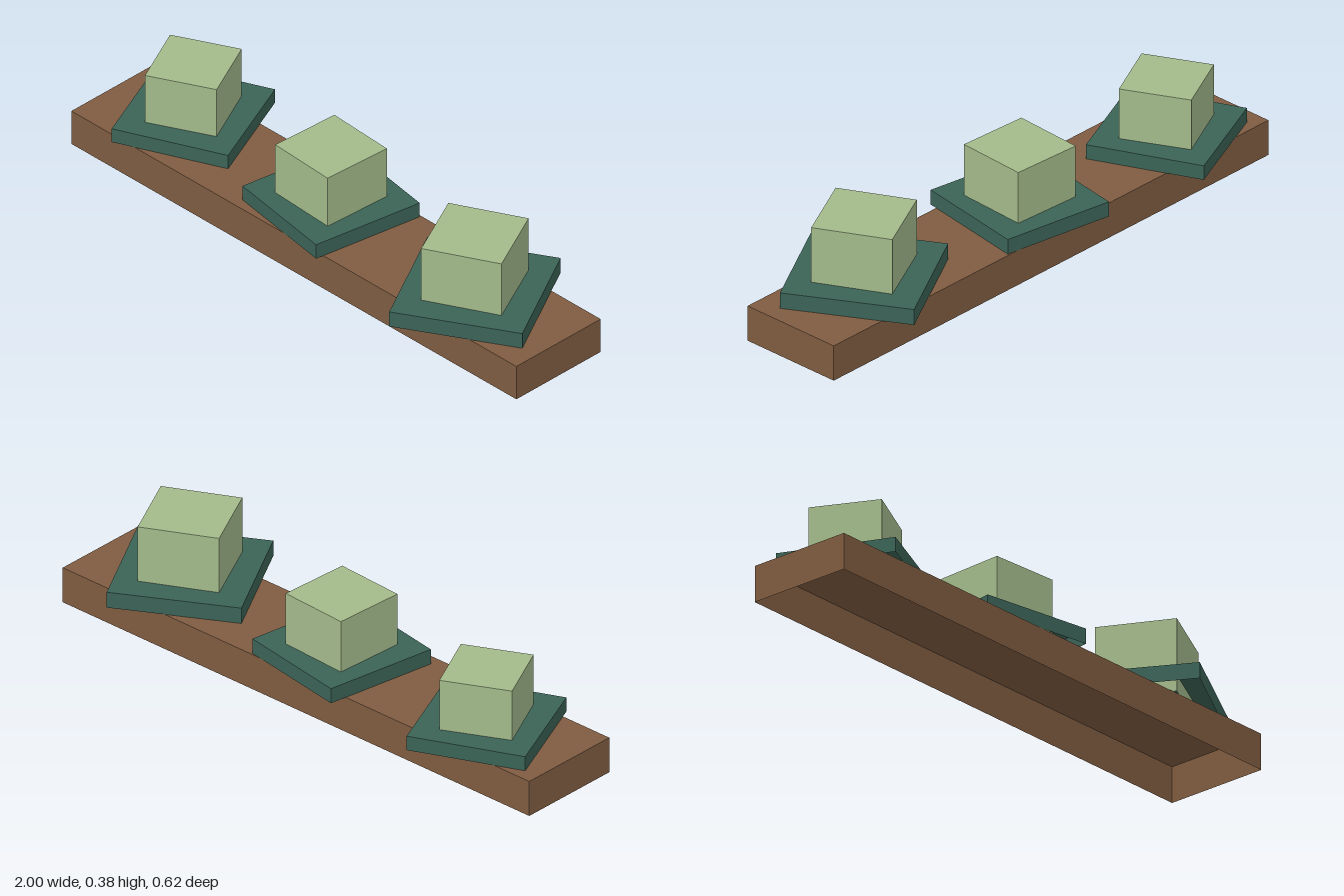
import * as THREE from 'three';

const makeMaterial = (name, color) => {
  const m = new THREE.MeshStandardMaterial({ color, side: THREE.DoubleSide });
  m.name = name;
  return m;
};

// Box standing on y = 0 with no bottom face
function openBox(w, h, d) {
  const g = new THREE.BoxGeometry(w, h, d).translate(0, h / 2, 0);
  const index = Array.from(g.index.array);
  index.splice(18, 6); // the six indices of the bottom face
  g.setIndex(index);
  g.clearGroups();
  return g;
}

export function createModel() {
  const model = new THREE.Group();
  model.name = 'plankWithBlocks';
  const wood = makeMaterial('brown wood', 0x7f5c41);
  const dark = makeMaterial('dark green', 0x3b6357);
  const pale = makeMaterial('pale green', 0xa3ba8b);

  const add = (name, material, w, h, d, x, y, z, yaw = 0) => {
    const mesh = new THREE.Mesh(openBox(w, h, d), material);
    mesh.name = name;
    mesh.position.set(x, y, z);
    mesh.rotation.y = THREE.MathUtils.degToRad(yaw);
    model.add(mesh);
  };

  // Long plank
  const top = 0.126;
  add('plank', wood, 2, top, 0.375, 0, 0, -0.0075);

  // Three turned trays, each carrying a block
  const stands = [
    { side: 'right', x: -0.684, z: -0.05, tray: 0.397, trayTop: 0.177, trayYaw: 23.3, block: 0.24, blockTop: 0.357, blockYaw: 26 },
    { side: 'middle', x: -0.038, z: -0.023, tray: 0.402, trayTop: 0.179, trayYaw: -9.3, block: 0.25, blockTop: 0.363, blockYaw: -3.2 },
    { side: 'left', x: 0.643, z: 0.011, tray: 0.438, trayTop: 0.182, trayYaw: 29.2, block: 0.268, blockTop: 0.38, blockYaw: 26.6 },
  ];
  for (const s of stands) {
    add(s.side + 'Tray', dark, s.tray, s.trayTop - top, s.tray, s.x, top, s.z, s.trayYaw);
    add(s.side + 'Block', pale, s.block, s.blockTop - top, s.block, s.x, top, s.z, s.blockYaw);
  }
  return model;
}
